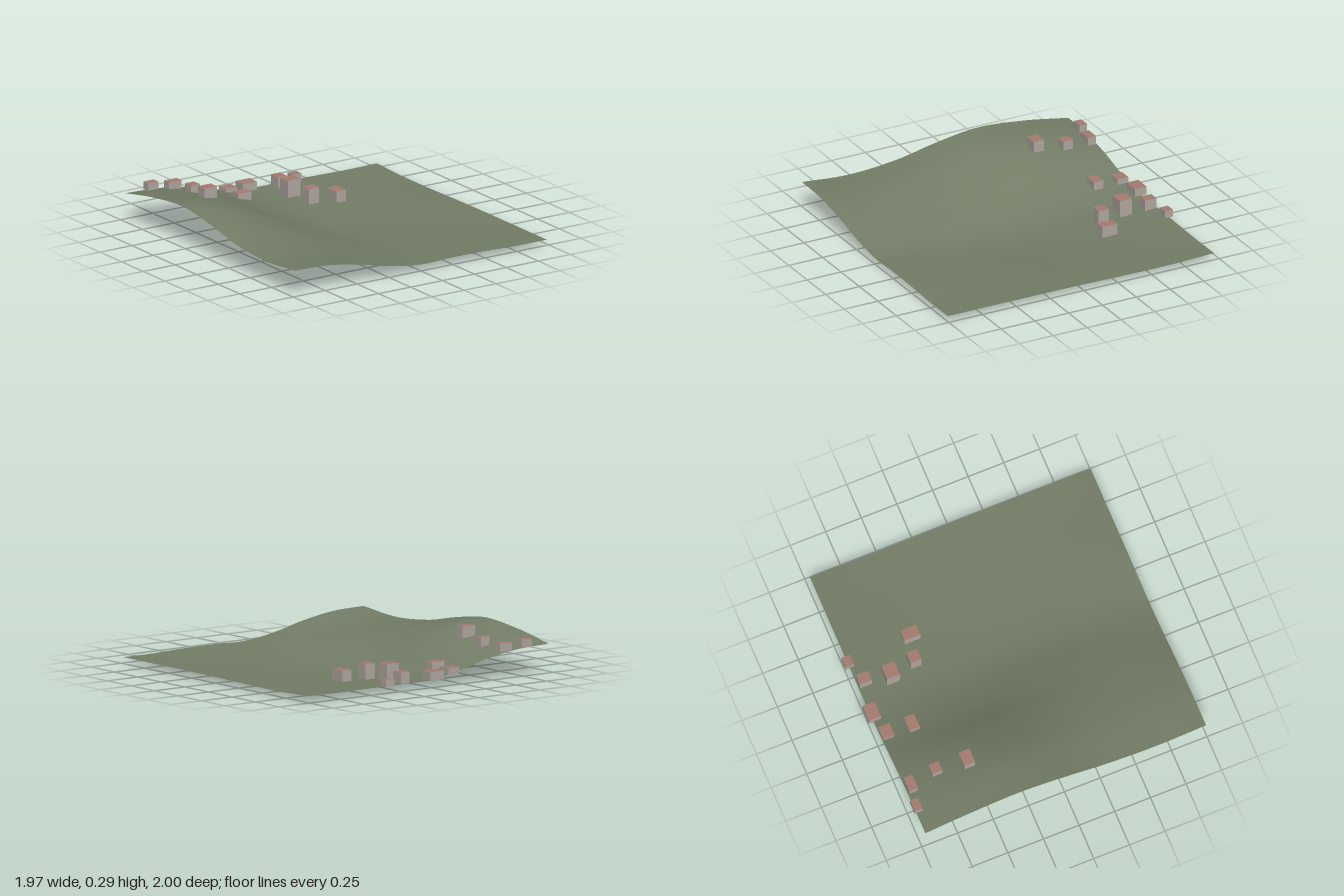
import * as THREE from 'three';

// Terrain heights: each row runs along x from left edge to right edge of the sheet
const ROW_Z = [1, 0.65, 0.3, 0, -0.3, -0.65, -0.97];
const HEIGHTS = [
  [0.180, 0.172, 0.135, 0.080, 0.048, 0.052, 0.050, 0.042, 0.042],
  [0.154, 0.150, 0.120, 0.078, 0.035, 0.030, 0.035, 0.037, 0.042],
  [0.180, 0.172, 0.135, 0.078, 0.022, 0.012, 0.022, 0.032, 0.042],
  [0.238, 0.215, 0.155, 0.075, 0.014, 0.004, 0.016, 0.030, 0.040],
  [0.275, 0.250, 0.178, 0.078, 0.020, 0.012, 0.018, 0.028, 0.035],
  [0.245, 0.225, 0.170, 0.085, 0.035, 0.030, 0.030, 0.030, 0.034],
  [0.190, 0.180, 0.145, 0.085, 0.052, 0.050, 0.046, 0.042, 0.044],
];
const HALF_W = 0.985;

// Smooth interpolation through evenly spaced values, t in index units
function spline(values, t) {
  const n = values.length - 1;
  const i = Math.min(Math.max(Math.floor(t), 0), n - 1);
  const f = t - i;
  const b = values[i], c = values[i + 1];
  const a = i > 0 ? values[i - 1] : 2 * b - c;
  const d = i < n - 1 ? values[i + 2] : 2 * c - b;
  return b + 0.5 * f * (c - a + f * (2 * a - 5 * b + 4 * c - d + f * (3 * (b - c) + d - a)));
}

function terrainHeight(x, z) {
  const u = ((x + HALF_W) / (2 * HALF_W)) * 8;
  let i = 0;
  while (i < ROW_Z.length - 2 && z < ROW_Z[i + 1]) i++;
  const v = i + (ROW_Z[i] - z) / (ROW_Z[i] - ROW_Z[i + 1]);
  return Math.max(0, spline(HEIGHTS.map((row) => spline(row, u)), v));
}

// Houses: centre x, centre z, width, depth, base y, top y
const HOUSES = [
  [-0.795, -0.955, 0.08, 0.055, 0.19, 0.24],
  [-0.64, -0.93, 0.10, 0.06, 0.17, 0.227],
  [-0.61, -0.745, 0.07, 0.07, 0.185, 0.248],
  [-0.635, -0.535, 0.10, 0.075, 0.215, 0.29],
  [-0.21, -0.925, 0.09, 0.08, 0.065, 0.11],
  [-0.22, -0.75, 0.10, 0.07, 0.065, 0.125],
  [-0.045, -0.96, 0.11, 0.085, 0.05, 0.108],
  [0.185, -0.92, 0.07, 0.085, 0.045, 0.12],
  [0.34, -0.97, 0.07, 0.06, 0.045, 0.093],
  [0.155, -0.745, 0.10, 0.09, 0.035, 0.15],
  [0.195, -0.565, 0.08, 0.075, 0.025, 0.13],
  [0.365, -0.52, 0.075, 0.11, 0.025, 0.10],
];

export function createModel() {
  const model = new THREE.Group();
  model.name = 'hillsideVillage';

  const grass = new THREE.MeshStandardMaterial({ color: 0x737d66, side: THREE.DoubleSide });
  grass.name = 'grass';
  const wall = new THREE.MeshStandardMaterial({ color: 0xb0a8a0 });
  wall.name = 'wall';
  const roof = new THREE.MeshStandardMaterial({ color: 0xa67c70 });
  roof.name = 'roof';

  // Rolling open sheet of ground
  const ground = new THREE.PlaneGeometry(2 * HALF_W, 1.97, 64, 64);
  ground.rotateX(-Math.PI / 2).translate(0, 0, 0.015);
  const p = ground.attributes.position;
  for (let i = 0; i < p.count; i++) p.setY(i, terrainHeight(p.getX(i), p.getZ(i)));
  ground.computeVertexNormals();
  const terrain = new THREE.Mesh(ground, grass);
  terrain.name = 'terrain';
  model.add(terrain);

  // Flat-roofed houses; the top face takes the roof colour
  const village = new THREE.Group();
  village.name = 'village';
  for (const [x, z, w, d, base, top] of HOUSES) {
    const house = new THREE.Mesh(
      new THREE.BoxGeometry(w, top - base, d),
      [wall, wall, roof, wall, wall, wall]
    );
    house.name = 'house';
    house.position.set(x, (base + top) / 2, z);
    village.add(house);
  }
  model.add(village);
  return model;
}
